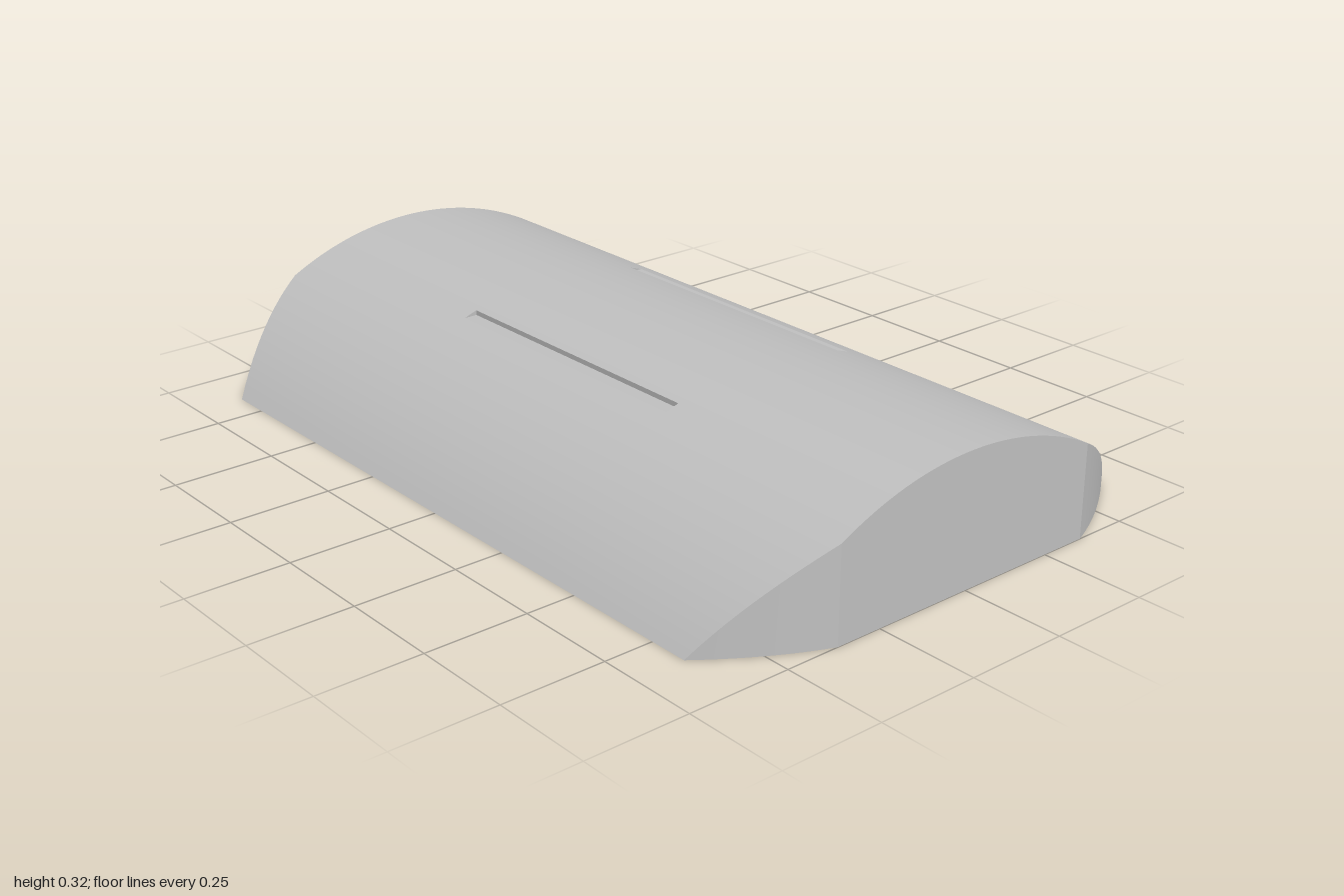
import * as THREE from 'three';
import { toCreasedNormals } from 'three/addons/utils/BufferGeometryUtils.js';

const HALF_DEPTH = 0.63, HEIGHT = 0.317, CUT_Z = 0.366, CUT_X = 0.155;
const SLOT_X = 0.372, SLOT_IN = 0.24, SLOT_OUT = 0.274;
const RADIUS = (HALF_DEPTH ** 2 + HEIGHT ** 2) / (2 * HEIGHT);

// height of the arched roof at depth z
const roofY = z => Math.max(0, Math.sqrt(RADIUS ** 2 - z * z) - RADIUS + HEIGHT);

// half length at depth z: full in the middle, curving in at the corners
function halfLength(z) {
  const t = Math.max(0, (Math.abs(z) - CUT_Z) / (HALF_DEPTH - CUT_Z));
  return 1 - CUT_X * t + 0.05 * t * (1 - t);
}

// depth stations from back to front, denser where the shape changes
function stations() {
  const stops = [0, SLOT_IN, SLOT_OUT, CUT_Z, HALF_DEPTH], steps = [10, 2, 4, 12];
  const half = [];
  steps.forEach((n, i) => {
    for (let k = 1; k <= n; k++) half.push(stops[i] + (stops[i + 1] - stops[i]) * k / n);
  });
  return [...half.map(z => -z).reverse(), 0, ...half];
}

// collects quads (counter-clockwise from outside), dropping empty triangles
function makeSurface() {
  const positions = [];
  const tri = (...p) => {
    const [a, b, c] = p.map(v => new THREE.Vector3(...v));
    if (b.sub(a).cross(c.sub(a)).length() > 1e-9) positions.push(...p.flat());
  };
  return {
    quad(a, b, c, d, flip = false) {
      if (flip) [a, b, c, d] = [d, c, b, a];
      tri(a, b, c);
      tri(a, c, d);
    },
    geometry() {
      const g = new THREE.BufferGeometry();
      g.setAttribute('position', new THREE.Float32BufferAttribute(positions, 3));
      return toCreasedNormals(g, 0.2);
    }
  };
}

export function createModel() {
  const group = new THREE.Group();
  group.name = 'archedBlock';
  const grey = new THREE.MeshStandardMaterial({ color: 0xc0c0c0 });
  grey.name = 'light grey';

  const roof = makeSurface(), ends = makeSurface(), base = makeSurface(), slots = makeSurface();
  const zs = stations();
  const floorY = roofY(SLOT_OUT);

  for (let i = 0; i < zs.length - 1; i++) {
    const z0 = zs[i], z1 = zs[i + 1];
    const y0 = roofY(z0), y1 = roofY(z1);
    const x0 = halfLength(z0), x1 = halfLength(z1);
    const mid = Math.abs((z0 + z1) / 2);
    const inSlot = mid > SLOT_IN && mid < SLOT_OUT;

    // roof, left open over the two slots
    const s = SLOT_X;
    roof.quad([-x0, y0, z0], [-x1, y1, z1], [-s, y1, z1], [-s, y0, z0]);
    roof.quad([s, y0, z0], [s, y1, z1], [x1, y1, z1], [x0, y0, z0]);
    if (!inSlot) roof.quad([-s, y0, z0], [-s, y1, z1], [s, y1, z1], [s, y0, z0]);

    // flat underside
    base.quad([-x0, 0, z0], [x0, 0, z0], [x1, 0, z1], [-x1, 0, z1]);

    for (const side of [1, -1]) {
      // end walls with curved corner cuts
      ends.quad([side * x1, 0, z1], [side * x0, 0, z0], [side * x0, y0, z0], [side * x1, y1, z1], side < 0);
      // slot end walls
      if (inSlot) slots.quad([-side * s, floorY, z1], [-side * s, floorY, z0],
        [-side * s, y0, z0], [-side * s, y1, z1], side < 0);
    }
    // slot floor
    if (inSlot) slots.quad([-s, floorY, z0], [-s, floorY, z1], [s, floorY, z1], [s, floorY, z0]);
  }

  // upright inner wall of each slot
  for (const side of [1, -1]) {
    const z = side * SLOT_IN, y = roofY(SLOT_IN);
    slots.quad([-SLOT_X, floorY, z], [SLOT_X, floorY, z], [SLOT_X, y, z], [-SLOT_X, y, z], side < 0);
  }

  Object.entries({ roof, endWalls: ends, underside: base, slots }).forEach(([name, part]) => {
    const mesh = new THREE.Mesh(part.geometry(), grey);
    mesh.name = name;
    group.add(mesh);
  });
  return group;
}
